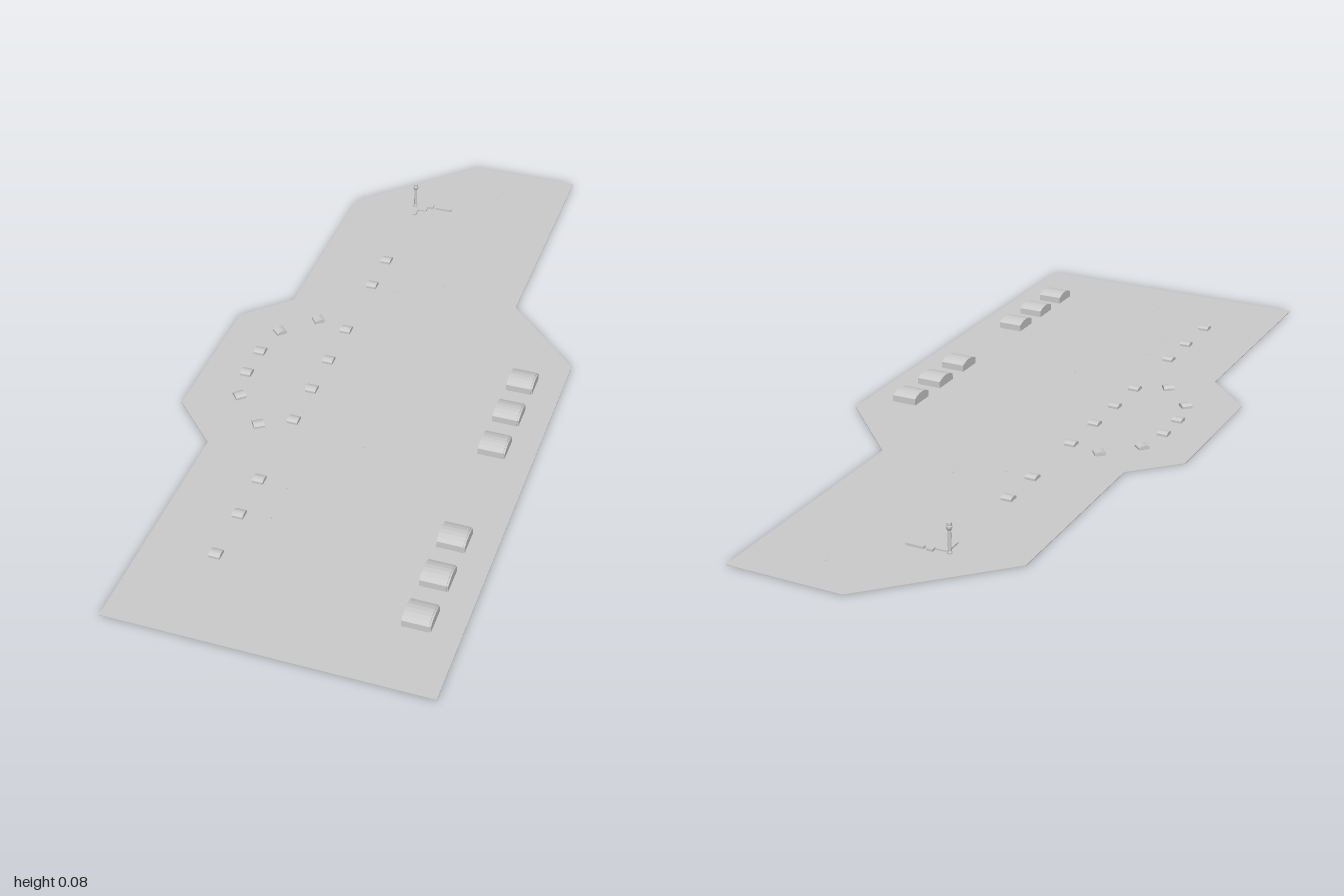
import * as THREE from 'three';

const grey = new THREE.MeshStandardMaterial({ color: 0xcccccc, flatShading: true });

function add(parent, name, geometry, x = 0, y = 0, z = 0) {
  const mesh = new THREE.Mesh(geometry, grey);
  mesh.name = name;
  mesh.position.set(x, y, z);
  parent.add(mesh);
  return mesh;
}

// Shed with a shallow arched roof; the ridge runs along x
function shedGeometry(length, width, wall, height) {
  const shape = new THREE.Shape();
  shape.moveTo(-width / 2, 0);
  shape.lineTo(width / 2, 0);
  const steps = 6;
  for (let i = 0; i <= steps; i++) {
    const t = 1 - (2 * i) / steps;
    shape.lineTo((t * width) / 2, wall + (height - wall) * (1 - t * t));
  }
  const geometry = new THREE.ExtrudeGeometry(shape, { depth: length, bevelEnabled: false });
  geometry.translate(0, 0, -length / 2);
  geometry.rotateY(Math.PI / 2);
  return geometry;
}

export function createModel() {
  const model = new THREE.Group();
  model.name = 'airfield';

  // Paved ground slab
  const outline = [
    [-0.05, -1], [0.24, -1], [0.24, -0.36], [0.44, -0.16], [0.44, 1], [-0.32, 1],
    [-0.32, 0.4], [-0.44, 0.28], [-0.44, -0.1], [-0.33, -0.21], [-0.33, -0.72],
  ].map(([x, z]) => new THREE.Vector2(x, -z));
  const slab = new THREE.ExtrudeGeometry(new THREE.Shape(outline), { depth: 0.002, bevelEnabled: false });
  slab.rotateX(-Math.PI / 2);
  add(model, 'ground', slab);

  // Large hangars in two groups of three
  const hangar = shedGeometry(0.062, 0.07, 0.019, 0.028);
  const hangarFront = shedGeometry(0.004, 0.066, 0.018, 0.026);
  for (const z of [-0.053, 0.075, 0.202, 0.537, 0.665, 0.792]) {
    add(model, 'hangar', hangar, 0.338, 0, z);
    add(model, 'hangarDoor', hangarFront, 0.371, 0, z);
  }

  // Small shelters in a straight row
  const shelter = shedGeometry(0.027, 0.027, 0.008, 0.012);
  for (const z of [-0.457, -0.335, -0.125, 0.01, 0.133, 0.26, 0.488, 0.613, 0.75]) {
    add(model, 'shelter', shelter, -0.152, 0, z);
  }

  // Small shelters around the side apron, turned to follow its edge
  const ring = [
    [-0.235, -0.143, -0.9], [-0.313, -0.065, -0.75], [-0.33, 0.03, 0],
    [-0.33, 0.122, 0], [-0.313, 0.213, 0.75], [-0.228, 0.302, 0.6],
  ];
  for (const [x, z, turn] of ring) add(model, 'apronShelter', shelter, x, 0, z).rotation.y = turn;

  // Control tower
  const tower = new THREE.Group();
  tower.name = 'controlTower';
  tower.position.set(-0.16, 0, -0.745);
  const rings = [[0.006, 0], [0.006, 0.006], [0.0045, 0.008], [0.004, 0.058], [0.007, 0.062],
    [0.008, 0.068], [0.006, 0.069], [0.006, 0.076], [0, 0.076]];
  add(tower, 'towerShaft', new THREE.LatheGeometry(rings.map(([r, y]) => new THREE.Vector2(r, y)), 8));
  model.add(tower);

  // Low terminal wings beside the tower
  const wings = [
    [-0.138, -0.735, 0.03, 0.02, 0.006], [-0.116, -0.75, 0.016, 0.014, 0.008],
    [-0.078, -0.75, 0.045, 0.01, 0.008], [-0.15, -0.712, 0.01, 0.03, 0.006],
  ];
  for (const [x, z, w, d, h] of wings) {
    add(model, 'terminalWing', new THREE.BoxGeometry(w, h, d), x, h / 2, z);
  }

  // Tiny ground lights along the taxiways
  const light = new THREE.BoxGeometry(0.004, 0.003, 0.004);
  const lights = [[0.03, -0.39], [-0.08, -0.33], [0.04, 0.3], [-0.08, 0.495], [-0.08, 0.6], [0.035, 0.85], [0.06, -0.89]];
  for (const [x, z] of lights) add(model, 'groundLight', light, x, 0.0015, z);

  return model;
}
